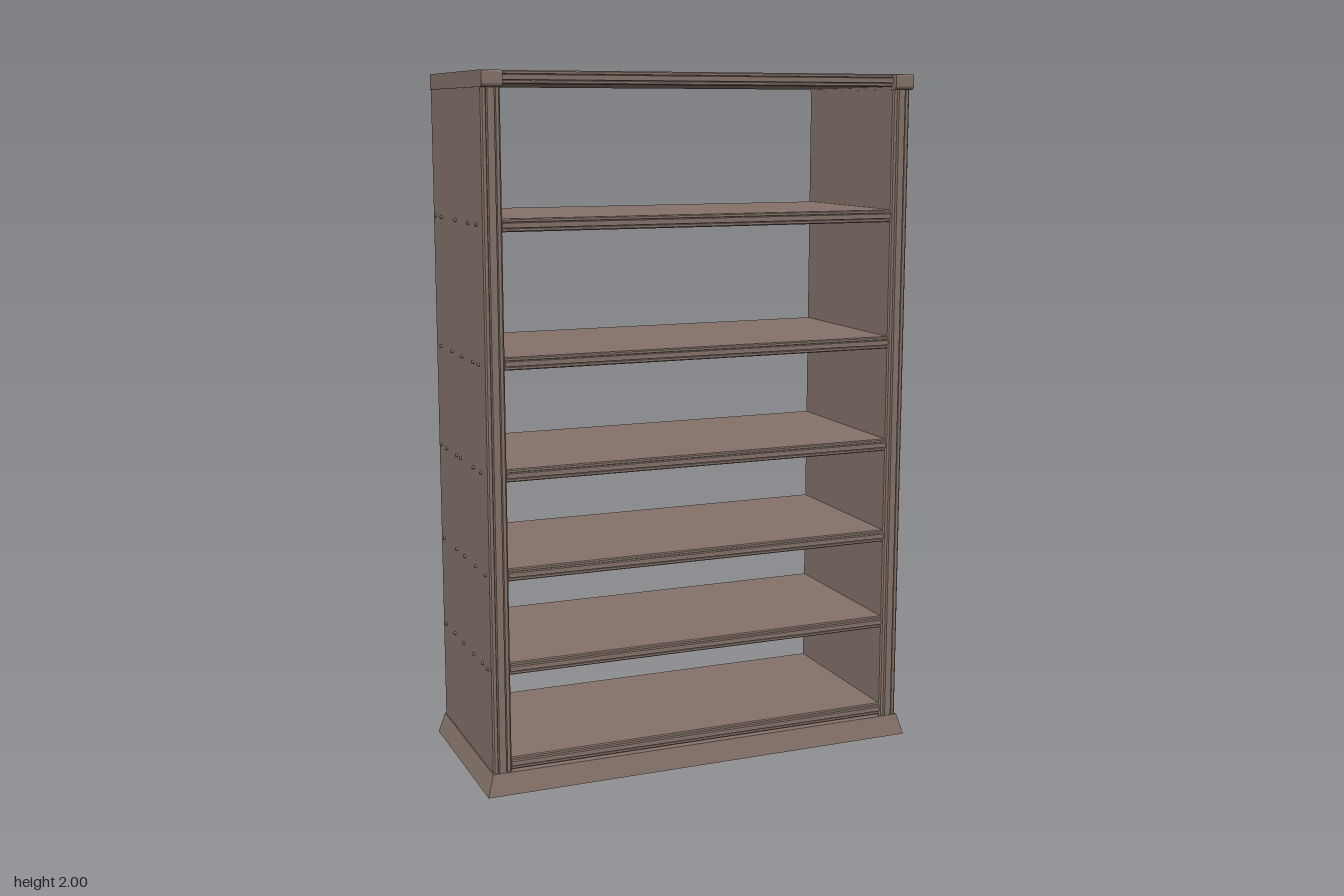
import * as THREE from 'three';

const BACK = -0.262, FRONT = 0.265;
const POST_IN = 0.588, POST_OUT = 0.642;

// Reeded front edge: fraction across the board, depth of the cut
const REEDS = [
  [0, 0.008], [0.08, 0.004], [0.24, 0.004], [0.28, 0.008], [0.32, 0],
  [0.68, 0], [0.72, 0.008], [0.76, 0.004], [0.92, 0.004], [1, 0.008],
];

// Cross-section of a board: depth along u, thickness along v
function boardShape(thickness, back, front) {
  const pts = [new THREE.Vector2(back, 0)];
  REEDS.forEach(([t, d]) => pts.push(new THREE.Vector2(front - d, t * thickness)));
  pts.push(new THREE.Vector2(back, thickness));
  return new THREE.Shape(pts);
}

// Extrude a (z, y) section along x, centred on x = 0
function alongX(shape, width) {
  const g = new THREE.ExtrudeGeometry(shape, { depth: width, bevelEnabled: false, curveSegments: 6 });
  g.translate(0, 0, -width / 2);
  g.rotateY(-Math.PI / 2);
  return g;
}

export function createModel() {
  const model = new THREE.Group();
  model.name = 'bookcase';
  const wood = new THREE.MeshStandardMaterial({ color: 0x86736a });
  wood.name = 'brown wood';

  const add = (name, geometry, parent = model) => {
    const mesh = new THREE.Mesh(geometry, wood);
    mesh.name = name;
    parent.add(mesh);
    return mesh;
  };

  // Flared plinth
  const baseH = 0.062;
  const base = new THREE.BoxGeometry(2, baseH, 2).toNonIndexed();
  const p = base.attributes.position;
  for (let i = 0; i < p.count; i++) {
    const top = p.getY(i) > 0;
    p.setX(i, p.getX(i) * (top ? 0.645 : 0.663));
    p.setZ(i, p.getZ(i) * (top ? 0.267 : 0.28));
  }
  base.translate(0, baseH / 2, 0);
  base.computeVertexNormals();
  add('base', base);

  // Shelves and top board, by lower edge height
  [0.066, 0.344, 0.614, 0.894, 1.203, 1.576, 1.964].forEach((y, i) => {
    const name = i === 6 ? 'topBoard' : 'shelf' + (i + 1);
    const shape = boardShape(0.036, BACK, 0.262);
    add(name, alongX(shape, POST_IN * 2)).position.y = y;
  });

  // Peg heads: height, then z positions
  const pegRows = [
    [0.36, [0.23, 0.175, 0.085, -0.025, -0.125, -0.225]],
    [0.63, [0.225, 0.125, 0.005, -0.085, -0.225]],
    [0.915, [0.2, 0.12, -0.015, -0.06, -0.17, -0.235]],
    [1.215, [0.195, 0.14, 0.025, -0.085, -0.21]],
    [1.595, [0.2, 0.12, -0.015, -0.17, -0.235]],
  ];
  const pegGeo = new THREE.CylinderGeometry(0.004, 0.006, 0.008, 8);

  for (const s of [-1, 1]) {
    const side = new THREE.Group();
    side.name = s > 0 ? 'leftSide' : 'rightSide';
    model.add(side);
    const mid = s * (POST_IN + POST_OUT) / 2;
    const thick = POST_OUT - POST_IN;

    // Upright panel with reeded front edge
    const height = 1.957 - baseH;
    const panel = new THREE.ExtrudeGeometry(boardShape(thick, BACK, FRONT), { depth: height, bevelEnabled: false });
    panel.rotateY(-Math.PI / 2);
    panel.rotateZ(-Math.PI / 2);
    panel.center();
    add('sidePanel', panel, side).position.set(mid, baseH + height / 2, (BACK + FRONT) / 2);

    // Cap with rounded nose over the upright
    const cap = new THREE.Shape();
    cap.moveTo(BACK, 1.956);
    cap.lineTo(0.27, 1.956);
    cap.quadraticCurveTo(0.28, 1.958, 0.28, 1.968);
    cap.lineTo(0.28, 1.992);
    cap.quadraticCurveTo(0.28, 2, 0.272, 2);
    cap.lineTo(BACK, 2);
    add('cap', alongX(cap, thick + 0.004), side).position.x = mid;

    // Pegs
    for (const [y, zs] of pegRows) {
      for (const z of zs) {
        const peg = add('peg', pegGeo, side);
        peg.position.set(s * (POST_OUT + 0.002), y, z);
        peg.rotation.z = -s * Math.PI / 2;
      }
    }
  }
  return model;
}
